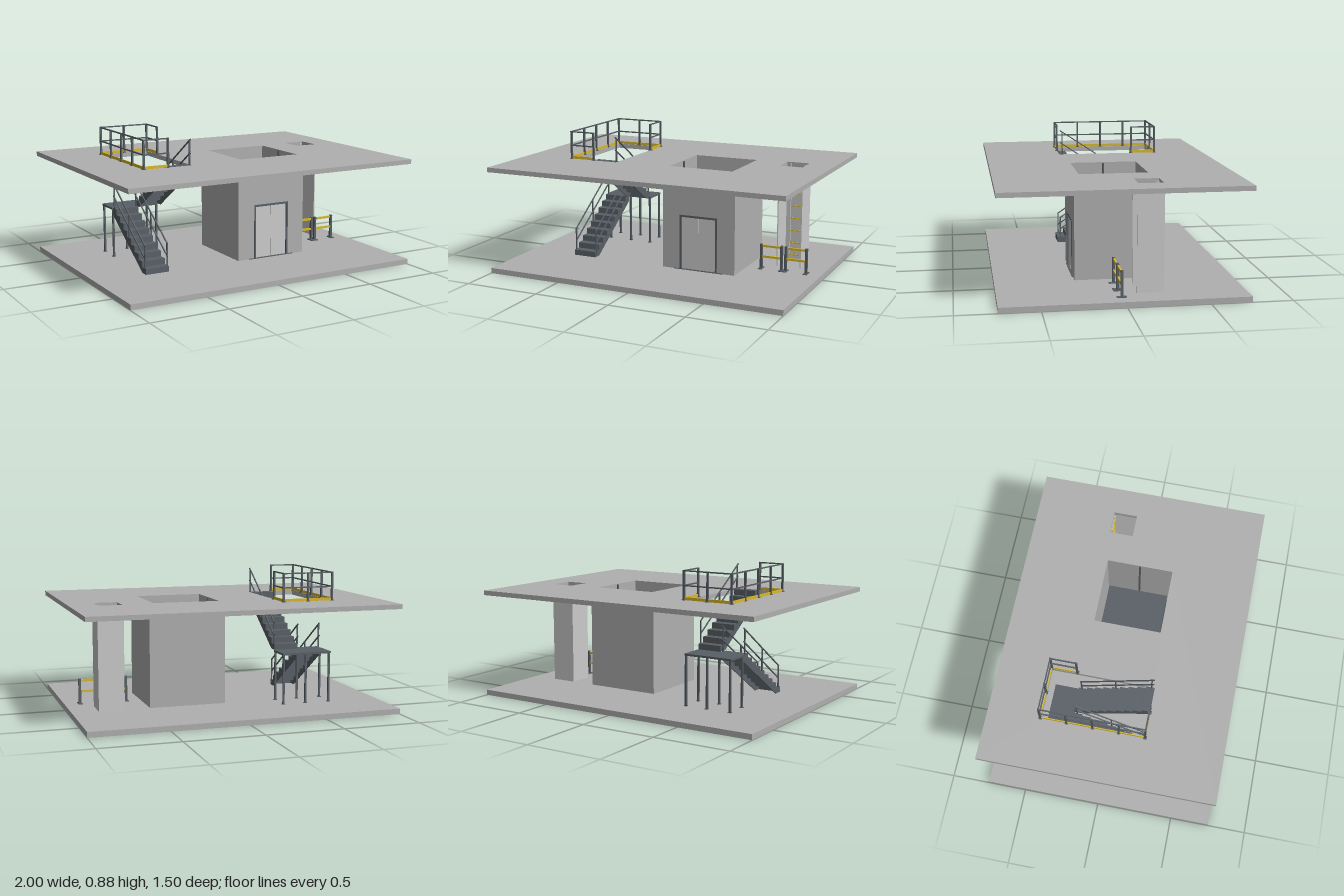
import * as THREE from 'three';

const mat = (color) => new THREE.MeshStandardMaterial({ color, flatShading: true });
const concrete = mat(0xb0b0b0), light = mat(0xcccccc), steel = mat(0x596066), yellow = mat(0xd8b92c);

// Box given by its minimum and maximum on each axis
function box(parent, name, [x0, x1], [y0, y1], [z0, z1], material) {
  const mesh = new THREE.Mesh(new THREE.BoxGeometry(x1 - x0, y1 - y0, z1 - z0), material);
  mesh.position.set((x0 + x1) / 2, (y0 + y1) / 2, (z0 + z1) / 2);
  mesh.name = name;
  parent.add(mesh);
  return mesh;
}

// Square bar between two points
function bar(parent, name, a, b, t, material = steel) {
  const from = new THREE.Vector3(...a), to = new THREE.Vector3(...b);
  const mesh = new THREE.Mesh(new THREE.BoxGeometry(t, t, from.distanceTo(to)), material);
  mesh.position.copy(from).add(to).multiplyScalar(0.5);
  mesh.lookAt(to);
  mesh.name = name;
  parent.add(mesh);
}

function rectPath(PathType, x0, x1, y0, y1) {
  const p = new PathType();
  p.moveTo(x0, y0).lineTo(x1, y0).lineTo(x1, y1).lineTo(x0, y1).closePath();
  return p;
}

function group(parent, name) {
  const g = new THREE.Group();
  g.name = name;
  parent.add(g);
  return g;
}

const FLOOR = 0.035, CEILING = 0.67, ROOF = 0.7, LANDING = 0.3675;
const STEPS = 9, RISE = (ROOF - FLOOR) / 2 / STEPS, RUN = 0.5 / STEPS;

// Flight of folded steps with zigzag side plates; dir is the z direction of climbing
function flight(parent, name, x0, x1, y0, dir, railXs) {
  const g = group(parent, name);
  const zAt = (d) => dir * (d - 0.25);
  const span = (a, b) => [Math.min(zAt(a), zAt(b)), Math.max(zAt(a), zAt(b))];
  const side = new THREE.Shape();
  side.moveTo(zAt(0), y0);
  for (let i = 0; i < STEPS; i++) {
    const d = i * RUN, y = y0 + (i + 1) * RISE;
    box(g, 'riser', [x0, x1], [y - RISE, y], span(d, d + 0.005), steel);
    box(g, 'tread', [x0, x1], [y - 0.006, y], span(d, d + RUN), steel);
    side.lineTo(zAt(d), y).lineTo(zAt(d + RUN), y);
  }
  side.lineTo(zAt(0.5), y0 + STEPS * RISE - 0.045).lineTo(zAt(RUN), y0).closePath();
  for (const x of [x0, x1 - 0.005]) {
    const plate = new THREE.Mesh(new THREE.ExtrudeGeometry(side, { depth: 0.005, bevelEnabled: false }), steel);
    plate.rotation.y = -Math.PI / 2;
    plate.position.x = x + 0.005;
    plate.name = 'stringer';
    g.add(plate);
  }
  // Sloped handrails
  const slope = RISE / RUN;
  for (const x of railXs) {
    for (const h of [0.085, 0.168]) {
      bar(g, 'handrail', [x, y0 + h + 0.015 * slope, zAt(0.015)], [x, y0 + h + 0.495 * slope, zAt(0.495)], 0.007);
    }
    for (const d of [0.02, 0.25, 0.48]) {
      const foot = y0 + d * slope;
      box(g, 'handrailPost', [x - 0.004, x + 0.004], [foot, foot + 0.168], [zAt(d) - 0.004, zAt(d) + 0.004], steel);
    }
  }
}

// Straight guard run with evenly spaced posts, two rails and a toe board
function guard(parent, a, b, bays) {
  const g = group(parent, 'guardRun');
  const at = (t, y) => [a[0] + (b[0] - a[0]) * t, y, a[1] + (b[1] - a[1]) * t];
  for (let i = 0; i <= bays; i++) {
    const [x, , z] = at(i / bays, 0);
    box(g, 'guardPost', [x - 0.006, x + 0.006], [ROOF, 0.885], [z - 0.006, z + 0.006], steel);
    box(g, 'postFoot', [x - 0.011, x + 0.011], [ROOF, ROOF + 0.004], [z - 0.011, z + 0.011], steel);
  }
  for (const y of [0.79, 0.881]) bar(g, 'guardRail', at(0, y), at(1, y), 0.008);
  const [x0, , z0] = at(0, 0), [x1, , z1] = at(1, 0), t = 0.003;
  box(g, 'toeBoard', [Math.min(x0, x1) - t, Math.max(x0, x1) + t], [ROOF + 0.001, ROOF + 0.019],
    [Math.min(z0, z1) - t, Math.max(z0, z1) + t], yellow);
}

export function createModel() {
  const model = new THREE.Group();
  model.name = 'twoLevelAccess';

  // Slabs; the upper one has stair, lift and ladder openings
  box(model, 'lowerSlab', [-1, 1], [0, FLOOR], [-0.75, 0.75], concrete);
  const slab = rectPath(THREE.Shape, -1, 1, -0.75, 0.75);
  for (const [x0, x1, z0, z1] of [
    [-0.665, -0.34, -0.41, 0.25], [0.033, 0.467, -0.217, 0.217], [0.672, 0.822, -0.244, -0.09],
  ]) slab.holes.push(rectPath(THREE.Path, x0, x1, -z1, -z0));
  const upper = new THREE.Mesh(new THREE.ExtrudeGeometry(slab, { depth: ROOF - CEILING, bevelEnabled: false }), concrete);
  upper.rotation.x = -Math.PI / 2;
  upper.position.y = CEILING;
  upper.name = 'upperSlab';
  model.add(upper);

  // Lift shaft with door opening
  const lift = group(model, 'lift');
  const H = [FLOOR, CEILING];
  box(lift, 'shaftBack', [0, 0.5], H, [-0.25, -0.217], concrete);
  box(lift, 'shaftRight', [0, 0.033], H, [-0.217, 0.217], concrete);
  box(lift, 'shaftLeft', [0.467, 0.5], H, [-0.217, 0.217], concrete);
  const front = new THREE.Shape();
  front.moveTo(0, FLOOR).lineTo(0.12, FLOOR).lineTo(0.12, 0.395).lineTo(0.38, 0.395).lineTo(0.38, FLOOR)
    .lineTo(0.5, FLOOR).lineTo(0.5, CEILING).lineTo(0, CEILING).closePath();
  const wall = new THREE.Mesh(new THREE.ExtrudeGeometry(front, { depth: 0.033, bevelEnabled: false }), concrete);
  wall.position.z = 0.217;
  wall.name = 'shaftFront';
  lift.add(wall);

  // Lift doors, frame, cab and guide rails
  for (const x of [0.12, 0.368]) box(lift, 'doorJamb', [x, x + 0.012], [FLOOR, 0.395], [0.217, 0.254], steel);
  box(lift, 'doorHead', [0.12, 0.38], [0.383, 0.396], [0.217, 0.254], steel);
  box(lift, 'doorSill', [0.08, 0.42], [FLOOR, FLOOR + 0.004], [0.2, 0.257], steel);
  box(lift, 'doorLeaf', [0.132, 0.249], [FLOOR + 0.004, 0.383], [0.232, 0.244], light);
  box(lift, 'doorLeaf', [0.251, 0.368], [FLOOR + 0.004, 0.383], [0.232, 0.244], light);
  box(lift, 'doorGap', [0.248, 0.252], [FLOOR + 0.004, 0.383], [0.228, 0.238], steel);
  box(lift, 'cab', [0.08, 0.415], [FLOOR + 0.005, 0.41], [-0.2, 0.2], steel);
  for (const x of [0.033, 0.459]) box(lift, 'guideRail', [x, x + 0.008], [FLOOR, 0.695], [-0.006, 0.006], steel);

  // Three-sided ladder enclosure
  const ladder = group(model, 'ladderShaft');
  box(ladder, 'enclosureBack', [0.664, 0.83], H, [-0.25, -0.243], light);
  for (const x of [0.664, 0.823]) box(ladder, 'enclosureSide', [x, x + 0.007], H, [-0.243, -0.085], light);
  for (const x of [0.695, 0.792]) box(ladder, 'ladderStile', [x, x + 0.009], [0.07, 0.69], [-0.24, -0.23], light);
  for (let i = 0; i < 8; i++) {
    const y = 0.075 + i * 0.0835;
    box(ladder, 'rung', [0.7, 0.796], [y - 0.003, y + 0.003], [-0.238, -0.232], yellow);
  }

  // Floor barrier in front of the ladder: two panels
  const barrier = group(model, 'barrier');
  for (const [x0, x1] of [[0.596, 0.734], [0.762, 0.9]]) {
    for (const x of [x0, x1]) {
      box(barrier, 'barrierPost', [x - 0.008, x + 0.008], [FLOOR, 0.2], [0.01, 0.026], steel);
      box(barrier, 'barrierFoot', [x - 0.013, x + 0.013], [FLOOR, FLOOR + 0.005], [-0.012, 0.048], steel);
    }
    for (const y of [0.117, 0.188]) box(barrier, 'barrierRail', [x0 - 0.004, x1 + 0.004], [y - 0.007, y + 0.007], [0.012, 0.024], yellow);
  }

  // Stairs: lower flight climbs to the back, upper flight returns to the front
  const stairs = group(model, 'stairs');
  flight(stairs, 'lowerFlight', -0.665, -0.507, FLOOR, -1, [-0.661, -0.508]);
  flight(stairs, 'upperFlight', -0.5, -0.341, LANDING, 1, [-0.345]);
  box(stairs, 'landing', [-0.67, -0.338], [LANDING - 0.013, LANDING], [-0.412, -0.25], steel);
  for (const x of [-0.66, -0.498, -0.346]) for (const z of [-0.257, -0.405]) {
    box(stairs, 'landingLeg', [x - 0.006, x + 0.006], [FLOOR, LANDING - 0.013], [z - 0.006, z + 0.006], steel);
    box(stairs, 'legFoot', [x - 0.01, x + 0.01], [FLOOR, FLOOR + 0.004], [z - 0.01, z + 0.01], steel);
  }

  // Guard around the stair opening, open at the top of the upper flight
  const guards = group(model, 'guard');
  guard(guards, [-0.67, -0.414], [-0.67, 0.25], 4);
  guard(guards, [-0.67, -0.414], [-0.336, -0.414], 2);
  guard(guards, [-0.336, -0.414], [-0.336, -0.25], 1);
  guard(guards, [-0.67, 0.25], [-0.505, 0.25], 1);
  return model;
}
